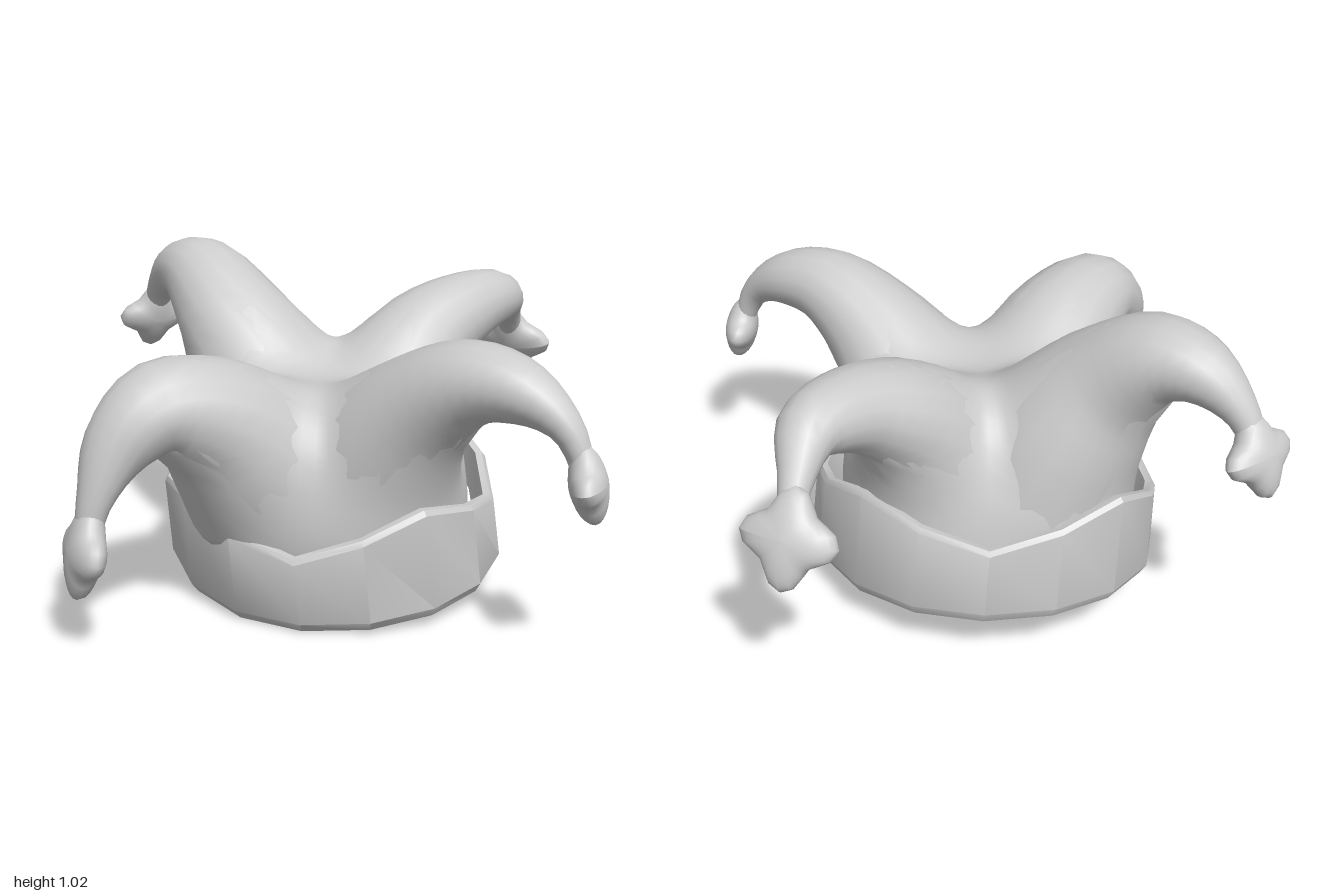
import * as THREE from 'three';
import { toCreasedNormals } from 'three/addons/utils/BufferGeometryUtils.js';

const V = (x, y, z) => new THREE.Vector3(x, y, z);

// Skin a list of closed rings (each a list of Vector3)
function loft(rings) {
  const n = rings[0].length, index = [];
  for (let i = 0; i < rings.length - 1; i++) {
    for (let j = 0; j < n; j++) {
      const k = (j + 1) % n, a = i * n, b = a + n;
      index.push(a + j, a + k, b + j, a + k, b + k, b + j);
    }
  }
  const geo = new THREE.BufferGeometry().setFromPoints(rings.flat());
  geo.setIndex(index);
  geo.computeVertexNormals();
  return geo;
}

// Height of the tilted bottom edge
const baseY = (x, z) => 0.06 + 0.11 * x - 0.1 * z + 0.1 * z * z;

// Oval ring around the head: scale, and a height above the bottom edge for each angle
function headRing(scale, height, n) {
  return Array.from({ length: n }, (_, j) => {
    const a = (j / n) * Math.PI * 2;
    const x = 0.505 * Math.cos(a) * scale, z = -0.085 - 0.58 * Math.sin(a) * scale;
    const h = height(a);
    return V(x + 0.02 - 0.13 * h, baseY(x, z) + h, z + 0.04 * h);
  });
}

// Half thickness of every horn from its root to its neck
const GIRTH = new THREE.SplineCurve(
  [0.27, 0.23, 0.165, 0.122, 0.088, 0.047, 0.03].map((g, i) => new THREE.Vector2(i, g)));

// Horn swept along a curve, a little wider than thick
function hornGeometry(path, fullness) {
  const steps = 22, sides = 16, rings = [];
  for (let i = 0; i <= steps; i++) {
    const t = i / steps, c = path.getPoint(t), r = GIRTH.getPoint(t).y * fullness;
    const tangent = path.getTangent(t);
    const side = V(0, 1, 0).cross(tangent).normalize();
    const up = tangent.clone().cross(side);
    rings.push(Array.from({ length: sides }, (_, j) => {
      const a = (j / sides) * Math.PI * 2;
      return c.clone().addScaledVector(side, Math.cos(a) * r * 1.08).addScaledVector(up, Math.sin(a) * r);
    }));
  }
  return loft(rings);
}

// Crown: a dome melted together with the horn roots, found by walking outward from inside
function crownGeometry(horns) {
  const origin = V(-0.01, 0.22, -0.07), blend = 0.05, rows = 30, sides = 72, rings = [];
  const roots = horns.map(({ path, fullness }) => Array.from({ length: 12 }, (_, i) => {
    const t = 0.06 + 0.032 * i;
    return { c: path.getPoint(t), r: GIRTH.getPoint(t).y * fullness * 0.97 };
  }));
  const distance = p => {
    const dome = (Math.hypot((p.x + 0.01) / 0.41, (p.y - 0.22) / 0.38, (p.z + 0.07) / 0.46) - 1) * 0.38;
    let sum = Math.exp(-dome / blend);
    for (const root of roots) {
      sum += Math.exp(-Math.min(...root.map(s => p.distanceTo(s.c) - s.r)) / blend);
    }
    return -blend * Math.log(sum);
  };
  for (let i = 0; i <= rows; i++) {
    const e = -0.12 + (Math.PI / 2 + 0.12) * (i / rows);
    rings.push(Array.from({ length: sides }, (_, j) => {
      const a = (j / sides) * Math.PI * 2;
      const dir = V(Math.cos(e) * Math.cos(a), Math.sin(e), -Math.cos(e) * Math.sin(a));
      const p = origin.clone().addScaledVector(dir, 0.1);
      for (let k = 0; k < 30; k++) p.addScaledVector(dir, -0.7 * distance(p));
      // Keep the lower part inside the band
      const reach = Math.hypot((p.x + 0.01) / 0.44, (p.z + 0.08) / 0.51);
      if (p.y < baseY(p.x, p.z) + 0.2 && reach > 1) {
        p.x = (p.x + 0.01) / reach - 0.01;
        p.z = (p.z + 0.08) / reach - 0.08;
      }
      return p;
    }));
  }
  return loft(rings);
}

// Flattened bobble with four rounded points
function bobbleGeometry(radius) {
  const geo = new THREE.SphereGeometry(1, 24, 14);
  geo.rotateX(Math.PI / 2);
  const p = geo.attributes.position;
  for (let i = 0; i < p.count; i++) {
    const x = p.getX(i), y = p.getY(i);
    const f = radius * (1 + 0.2 * Math.hypot(x, y) * Math.cos(4 * Math.atan2(y, x)));
    p.setXYZ(i, x * f, y * f, p.getZ(i) * 0.053);
  }
  geo.computeVertexNormals();
  return geo;
}

// Centre lines run from inside the crown to the middle of the bobble
const HORNS = [
  { name: 'rightHorn', fullness: 1.12, bobble: 0.12, facing: V(-0.96, 0.2, -0.12), points: [
    V(-0.16, 0.27, -0.01), V(-0.31, 0.44, 0.03), V(-0.49, 0.61, 0.07), V(-0.66, 0.66, 0.09),
    V(-0.78, 0.58, 0.1), V(-0.86, 0.45, 0.12), V(-0.9, 0.3, 0.12)] },
  { name: 'leftHorn', fullness: 1, bobble: 0.12, facing: V(0.8, 0.45, -0.4), points: [
    V(0.16, 0.3, -0.08), V(0.23, 0.52, -0.1), V(0.36, 0.7, -0.12), V(0.53, 0.79, -0.125),
    V(0.7, 0.81, -0.16), V(0.8, 0.74, -0.23), V(0.88, 0.62, -0.295)] },
  { name: 'frontHorn', fullness: 1, bobble: 0.095, facing: V(0.7, 0.2, 0.7), points: [
    V(-0.02, 0.27, 0.12), V(-0.01, 0.48, 0.25), V(0.02, 0.65, 0.41), V(0.07, 0.75, 0.58),
    V(0.13, 0.745, 0.73), V(0.18, 0.67, 0.85), V(0.215, 0.525, 0.905)] },
  { name: 'backHorn', fullness: 1.06, bobble: 0.105, facing: V(0, 0.4, -0.9), points: [
    V(-0.03, 0.33, -0.26), V(-0.08, 0.57, -0.35), V(-0.14, 0.77, -0.47), V(-0.17, 0.89, -0.62),
    V(-0.19, 0.895, -0.75), V(-0.21, 0.82, -0.87), V(-0.215, 0.71, -0.94)] },
].map(h => ({ ...h, path: new THREE.CatmullRomCurve3(h.points) }));

export function createModel() {
  const model = new THREE.Group();
  model.name = 'jesterHat';
  const cloth = new THREE.MeshStandardMaterial({ color: 0xcccccc });
  cloth.name = 'pale grey cloth';
  const add = (name, geo, parent = model) => {
    const mesh = new THREE.Mesh(geo, cloth);
    mesh.name = name;
    parent.add(mesh);
    return mesh;
  };

  // Head band with four points, one under each horn, and a closed underside
  const edge = a => {
    const t = Math.abs(((a / (Math.PI / 2)) % 1) - 0.5) * 2;
    return 0.23 + 0.105 * t;
  };
  const band = loft([
    headRing(0, () => 0.015, 16),
    headRing(0.965, () => 0, 16),
    headRing(1, () => 0.03, 16),
    headRing(0.985, a => edge(a) - 0.015, 16),
    headRing(0.965, edge, 16),
    headRing(0.925, edge, 16),
    headRing(0.87, a => edge(a) - 0.12, 16),
  ]);
  add('headBand', toCreasedNormals(band, 0.6));

  add('crown', crownGeometry(HORNS));

  // Drooping horns, each ending in a bobble
  for (const { name, fullness, bobble, facing, path } of HORNS) {
    const horn = new THREE.Group();
    horn.name = name;
    model.add(horn);
    add(name + 'Cloth', hornGeometry(path, fullness), horn);
    const tip = add(name + 'Bobble', bobbleGeometry(bobble), horn);
    tip.position.copy(path.getPoint(1));
    tip.lookAt(tip.position.clone().add(facing));
  }
  return model;
}
